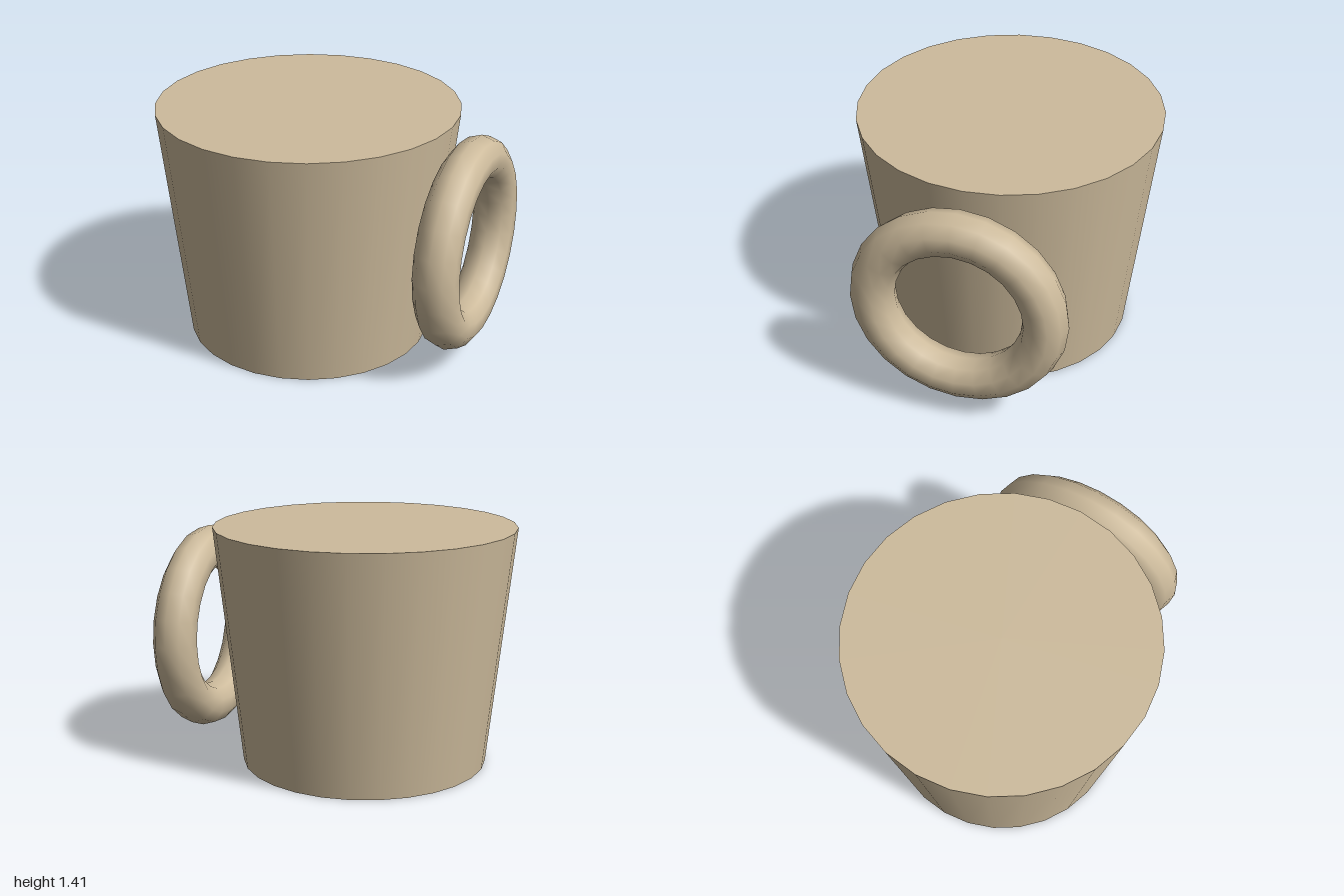
import * as THREE from 'three';

export function createModel() {
  const model = new THREE.Group();
  const clay = new THREE.MeshStandardMaterial({ color: 0xcdbb9c });
  clay.name = 'clay';

  // Tapered solid cup body, closed at both ends
  const height = 1.41;
  const body = new THREE.Mesh(new THREE.CylinderGeometry(0.88, 0.727, height, 28), clay);
  body.name = 'cupBody';
  body.position.set(-0.12, height / 2, 0);
  model.add(body);

  // Ring handle touching the rim side
  const handle = new THREE.Mesh(new THREE.TorusGeometry(0.4925, 0.128, 10, 24), clay);
  handle.name = 'ringHandle';
  handle.rotation.y = Math.PI / 2;
  handle.position.set(0.878, 0.73, 0);
  model.add(handle);

  return model;
}
